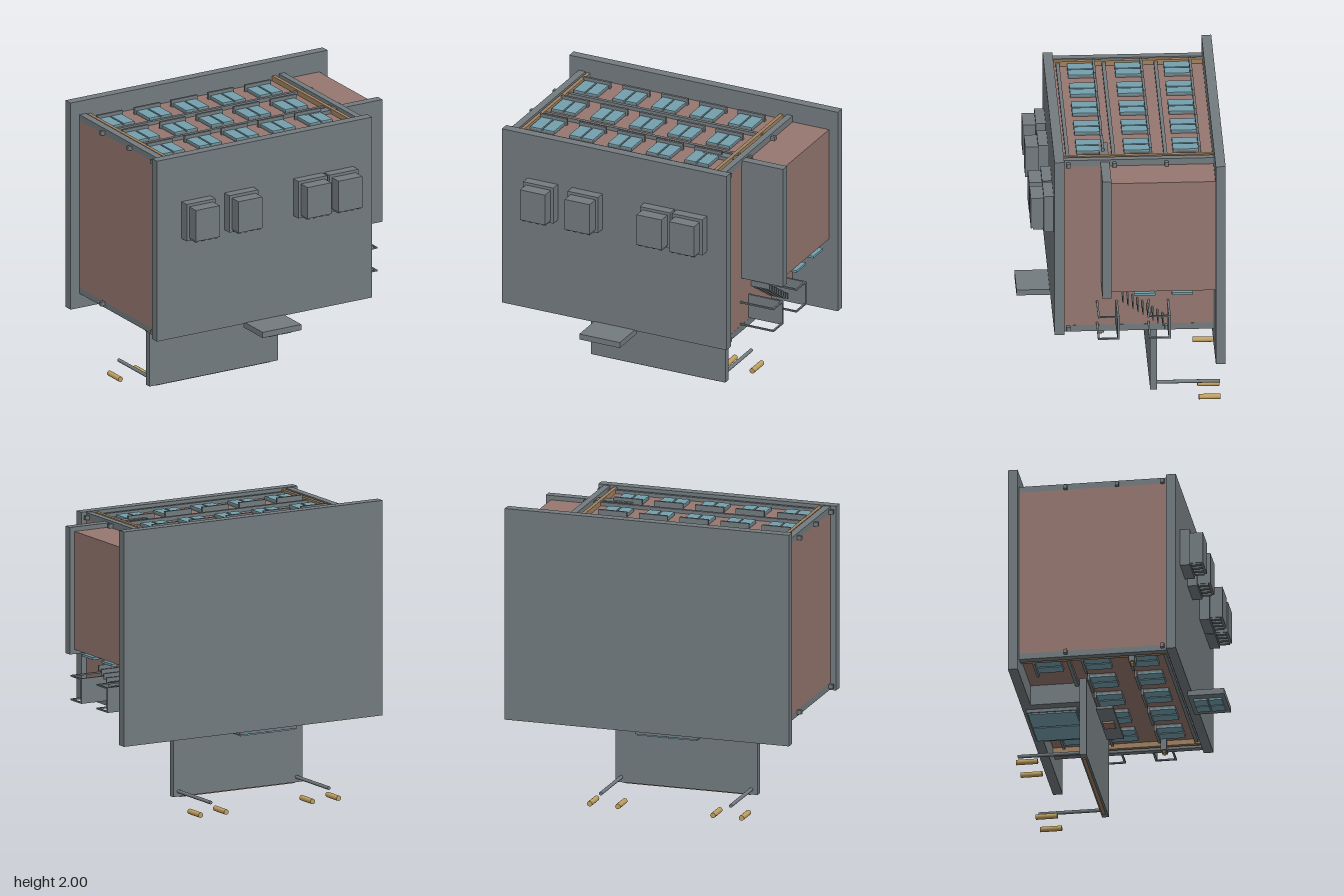
import * as THREE from 'three';

const paint = (name, color) => {
  const m = new THREE.MeshStandardMaterial({ color });
  m.name = name;
  return m;
};

export function createModel() {
  const model = new THREE.Group();
  model.name = 'apartmentBlock';
  const grey = paint('concreteGrey', 0x737b7f);
  const brick = paint('brick', 0x96776f);
  const glass = paint('glass', 0x74a0ac);
  const brown = paint('pipeBrown', 0xa08260);
  const brass = paint('brass', 0xc0a060);

  // Box given by its limits on each axis
  const box = (name, mat, x0, x1, y0, y1, z0, z1) => {
    const mesh = new THREE.Mesh(new THREE.BoxGeometry(x1 - x0, y1 - y0, z1 - z0), mat);
    mesh.position.set((x0 + x1) / 2, (y0 + y1) / 2, (z0 + z1) / 2);
    mesh.name = name;
    model.add(mesh);
    return mesh;
  };
  // Round bar along z
  const rod = (name, mat, x, y, r, z0, z1) => {
    const mesh = new THREE.Mesh(new THREE.CylinderGeometry(r, r, z1 - z0, 16), mat);
    mesh.rotation.x = Math.PI / 2;
    mesh.position.set(x, y, (z0 + z1) / 2);
    mesh.name = name;
    model.add(mesh);
  };

  // Main masses: the building's own vertical runs along z
  box('groundSlab', grey, -1, 0.99, 0.545, 2, -0.67, -0.605);
  box('walls', brick, -0.93, 0.655, 0.685, 1.865, -0.605, 0.385);
  box('roofSlab', grey, -0.97, 0.695, 0.64, 1.91, 0.385, 0.45);

  // Both long facades, mirrored about y = 1.275
  const columns = [-0.75, -0.46, -0.175, 0.11, 0.395];
  const floors = [-0.515, -0.19, 0.125];
  for (const upper of [true, false]) {
    const part = (name, mat, x0, x1, y0, y1, z0, z1) =>
      upper ? box(name, mat, x0, x1, y0, y1, z0, z1)
        : box(name, mat, x0, x1, 2.55 - y1, 2.55 - y0, z0, z1);
    part('cornerPilaster', grey, -0.93, -0.88, 1.86, 1.905, -0.605, 0.385);
    part('cornerPilaster', grey, 0.612, 0.656, 1.86, 1.905, -0.605, 0.385);
    part('drainPipe', brown, -0.87, -0.845, 1.865, 1.9, -0.605, 0.385);
    part('drainPipe', brown, 0.56, 0.585, 1.865, 1.9, -0.605, 0.385);
    for (const z of [-0.305, 0.04, 0.345]) {
      if (!upper && z === 0.04) continue;
      part('floorBand', grey, -0.96, 0.685, 1.862, 1.89, z, z + 0.024);
    }
    floors.forEach((z, row) => {
      for (const x of columns) {
        if (!upper && row === 0 && Math.abs(x + 0.175) < 0.3) continue;
        part('windowFrame', grey, x - 0.0875, x + 0.0875, 1.862, 1.88, z, z + 0.17);
        part('windowPane', glass, x - 0.0875, x - 0.006, 1.88, 1.889, z, z + 0.17);
        part('windowPane', glass, x + 0.006, x + 0.0875, 1.88, 1.889, z, z + 0.17);
        part('windowSill', grey, x - 0.1, x + 0.1, 1.862, 1.912, z - 0.014, z + 0.003);
      }
    });
  }

  // Chimneys with a stepped cap and small vents
  for (const x of [-0.667, -0.337, 0.197, 0.437]) {
    box('chimneyBase', grey, x - 0.112, x + 0.112, 1.33, 1.59, 0.45, 0.515);
    box('chimneyTop', grey, x - 0.092, x + 0.092, 1.35, 1.57, 0.515, 0.6);
    for (let i = 0; i < 4; i++) {
      const vx = x - 0.075 + i * 0.05;
      box('chimneyVent', grey, vx - 0.012, vx + 0.012, 1.338, 1.352, 0.52, 0.585);
    }
  }

  // Attic dormer with a four-pane window
  box('dormer', grey, -0.285, 0.015, 0.605, 0.645, 0.425, 0.67);
  for (const x of [-0.225, -0.13]) {
    for (const z of [0.455, 0.555]) {
      box('dormerPane', glass, x, x + 0.085, 0.592, 0.605, z, z + 0.09);
    }
  }

  // Wall lamps
  for (const x of [-0.84, 0.57]) {
    box('lampBracket', grey, x - 0.038, x + 0.038, 0.608, 0.69, 0.12, 0.16);
    box('lampBulb', brass, x - 0.028, x + 0.028, 0.597, 0.608, 0.13, 0.15);
  }

  // Entrance: vestibule, double door, sign board and canopy
  box('vestibule', grey, -0.425, 0.155, 0.545, 0.69, -0.605, -0.25);
  box('doorFrame', grey, -0.355, 0.085, 0.522, 0.546, -0.645, -0.305);
  box('doorLeaf', glass, -0.345, -0.142, 0.512, 0.522, -0.635, -0.315);
  box('doorLeaf', glass, -0.128, 0.075, 0.512, 0.522, -0.635, -0.315);
  box('signBoard', grey, -0.38, 0.105, 0.505, 0.525, -0.175, -0.06);
  box('signPlaque', brick, -0.18, -0.09, 0.49, 0.505, -0.16, -0.085);
  box('canopy', grey, -0.635, 0.36, 0.06, 0.617, -0.245, -0.2);
  box('canopyTrim', brown, -0.58, 0.3, 0.053, 0.06, -0.235, -0.212);
  for (const x of [-0.59, 0.32]) rod('canopyPost', grey, x, 0.095, 0.012, -0.665, -0.245);
  for (const x of [-0.665, -0.465, 0.2, 0.397]) rod('bollard', brass, x, 0.018, 0.018, -0.665, -0.52);

  // Side wing with its own flat roof and windows
  box('wingWalls', brick, 0.65, 0.925, 1.06, 1.86, -0.605, 0.09);
  box('wingRoof', grey, 0.36, 0.96, 1.03, 1.89, 0.085, 0.145);
  for (const z of [-0.455, -0.205]) {
    box('wingWindow', glass, 0.78, 0.955, 1.045, 1.061, z, z + 0.14);
  }

  // Fire escape: two landings with rails, joined by treads
  for (const z of [0.03, -0.31]) {
    box('landing', grey, 0.655, 0.905, 0.7, 0.87, z, z + 0.014);
    for (const y of [0.7, 0.86]) {
      box('landingRail', grey, 0.655, 0.905, y, y + 0.01, z + 0.13, z + 0.143);
      box('railPost', grey, 0.893, 0.905, y, y + 0.01, z, z + 0.143);
    }
  }
  for (let i = 0; i < 9; i++) {
    const y = 0.935 - i * 0.0225;
    const z = -i * 0.0333;
    box('stairTread', grey, 0.655, 0.79, y - 0.02, y + 0.02, z - 0.005, z + 0.005);
  }

  return model;
}
